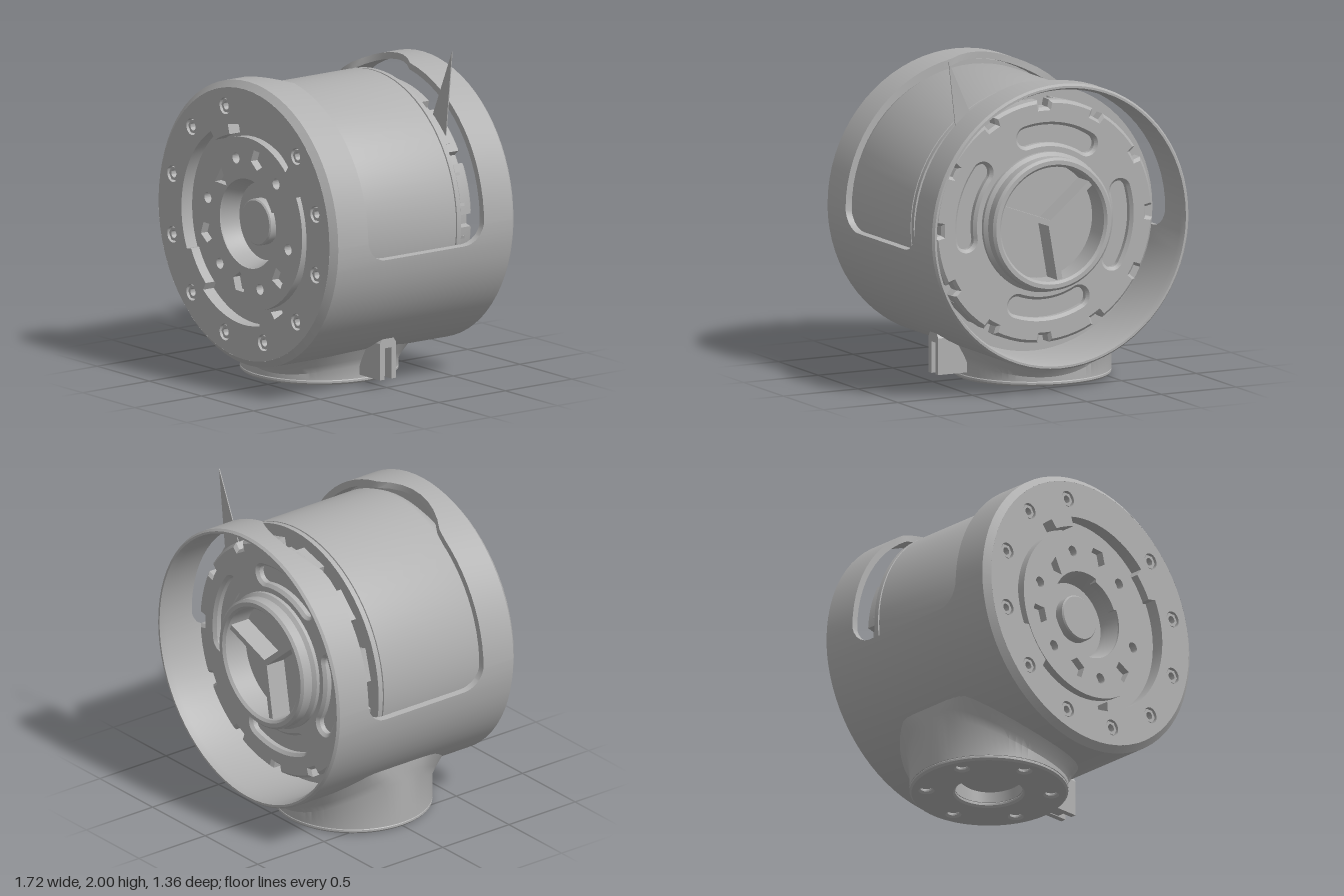
import * as THREE from 'three';
import { toCreasedNormals } from 'three/addons/utils/BufferGeometryUtils.js';

const grey = new THREE.MeshStandardMaterial({ color: 0xb0b0b0, side: THREE.DoubleSide });
grey.name = 'plain grey';
const CY = 0.996; // height of the barrel axis
const rad = THREE.MathUtils.degToRad;

export function createModel() {
  const model = new THREE.Group();
  model.name = 'motorInHousing';

  const add = (name, geometry, x = 0, y = 0, z = 0, parent = model) => {
    const mesh = new THREE.Mesh(geometry, grey);
    mesh.name = name;
    mesh.position.set(x, y, z);
    parent.add(mesh);
    return mesh;
  };
  const crease = (g) => toCreasedNormals(g, rad(28));
  const extrude = (shape, depth, bevel = 0) => crease(new THREE.ExtrudeGeometry(shape, {
    depth, curveSegments: 32, bevelEnabled: bevel > 0, bevelSize: bevel, bevelThickness: bevel, bevelOffset: -bevel, bevelSegments: 1 }));
  const polar = (r, deg) => new THREE.Vector2(r * Math.cos(rad(deg)), r * Math.sin(rad(deg)));
  const circle = (r, x = 0, y = 0) => new THREE.Path().absarc(x, y, r, 0, Math.PI * 2);
  const disc = (r, hole) => {
    const s = new THREE.Shape().absarc(0, 0, r, 0, Math.PI * 2);
    if (hole) s.holes.push(circle(hole));
    return s;
  };
  const polygon = (n, r, x = 0, y = 0, turn = 0) =>
    Array.from({ length: n }, (_, i) => polar(r, turn + i * 360 / n).add(new THREE.Vector2(x, y)));
  // Outline whose radius steps between arcs: [startDeg, endDeg, radius]
  const stepped = (arcs) => arcs.flatMap(([a, b, r]) => {
    const n = Math.max(2, Math.ceil((b - a) / 5));
    return Array.from({ length: n + 1 }, (_, i) => polar(r, a + (b - a) * i / n));
  });
  // Solid of revolution about the barrel axis from [radius, z] pairs
  const barrel = (name, pts) => add(name,
    crease(new THREE.LatheGeometry(pts.map((p) => new THREE.Vector2(...p)), 72).rotateX(Math.PI / 2)), 0, CY, 0);

  // Housing: swept section, split into front and back rings by the rounded opening on top
  const lip = Math.asin(0.12 / 0.86), corner = 0.14;
  const edgeZ = (t, sign) => {
    const rise = Math.max(0, 0.86 * Math.sin(t) + 0.12);
    let z = sign > 0 ? 0.42 : 0.45;
    if (rise < corner) return sign * (z + Math.sqrt(corner ** 2 - (corner - rise) ** 2) - corner);
    const bulge = 0.525 ** 2 - (0.86 * Math.cos(t) + 0.15) ** 2;
    if (bulge > 0) z = Math.max(z, Math.sqrt(bulge) - sign * 0.015);
    return sign * z;
  };
  const angles = [];
  for (let i = 0; i <= 72; i++) angles.push(i * Math.PI / 36);
  for (const d of [0, 0.003, 0.01, 0.03, 0.06, 0.1, 0.13]) angles.push(Math.PI + lip - d, Math.PI * 2 - lip + d);
  angles.sort((a, b) => a - b);
  const section = (t) => [
    [0.86, edgeZ(t, 1)], [0.86, 0.645], [0.82, 0.68], [0.81, 0.66], [0.82, edgeZ(t, 1)],
    [0.82, edgeZ(t, -1)], [0.82, -0.64], [0.835, -0.68], [0.848, -0.68], [0.86, -0.665], [0.86, edgeZ(t, -1)],
  ].map(([r, z]) => [r * Math.cos(t), r * Math.sin(t), z]);
  const wall = [];
  const quad = (a, b, c, d) => wall.push(...a, ...b, ...c, ...a, ...c, ...d);
  const ring = [[0, 1], [1, 2], [2, 3], [3, 4], [5, 6], [6, 7], [7, 8], [8, 9], [9, 10]];
  for (let i = 0; i < angles.length - 1; i++) {
    const a = section(angles[i]), b = section(angles[i + 1]);
    const closed = Math.sin((angles[i] + angles[i + 1]) / 2) * 0.86 < -0.12;
    const ends = closed ? [[4, 5], [10, 0]] : [[4, 0], [10, 5]];
    for (const [j, k] of [...ring, ...ends]) quad(a[j], b[j], b[k], a[k]);
  }
  const left = section(Math.PI + lip), right = section(-lip);
  quad(left[0], left[10], left[5], left[4]);
  quad(right[0], right[4], right[5], right[10]);
  const housing = new THREE.BufferGeometry();
  housing.setAttribute('position', new THREE.Float32BufferAttribute(wall, 3));
  add('housing', crease(housing), 0, CY, 0);

  // Front ring plate with keyed opening and screw holes
  const plate = disc(0.82);
  plate.holes.push(new THREE.Path(stepped([
    [45, 105, 0.6], [105, 121, 0.54], [122, 204, 0.6], [205, 229, 0.56],
    [230, 284, 0.61], [285, 298, 0.55], [299, 386, 0.6], [387, 404, 0.545]])));
  const bolt = new THREE.Shape(polygon(6, 0.045));
  bolt.holes.push(circle(0.024));
  for (let a = 15; a < 360; a += 30) {
    if (a === 75) continue;
    const p = polar(0.71, a);
    plate.holes.push(circle(0.05, p.x, p.y));
    add('frontBolt', extrude(bolt, 0.07), p.x, CY + p.y, 0.6);
  }
  add('frontPlate', extrude(plate, 0.08), 0, CY, 0.6);
  barrel('frontPlateFloor', [[0.27, 0.53], [0.27, 0.6], [0.815, 0.6], [0.815, 0.53], [0.27, 0.53]]);

  // Motor front face: drilled disc, recessed centre and boss
  const face = disc(0.52);
  face.holes.push(new THREE.Path(stepped([[25, 72, 0.25], [73, 384, 0.27]])));
  for (let i = 0; i < 6; i++) {
    const p = polar(0.395, 47 + i * 60);
    face.holes.push(circle(0.033, p.x, p.y));
  }
  [[0.09, 0.4, 5], [-0.26, 0.23, 3], [-0.39, -0.12, 5], [-0.08, -0.37, 5], [0.29, -0.28, 4]].forEach(([x, y, n], i) =>
    face.holes.push(new THREE.Path(polygon(n, 0.065, x, y, 50 + i * 37))));
  add('motorFace', extrude(face, 0.05), 0, CY, 0.6);
  barrel('centreWellWall', [[0.235, 0.53], [0.24, 0.56], [0.27, 0.64]]);
  add('centreBoss', extrude(disc(0.14), 0.05, 0.008), 0, CY, 0.535);

  // Motor body with a seam near its back edge
  barrel('motorBody', [[0, -0.325], [0.8, -0.325], [0.8, -0.295], [0.792, -0.293], [0.792, -0.287],
    [0.8, -0.285], [0.8, 0.44], [0.78, 0.49], [0.74, 0.53], [0, 0.53]].reverse());
  barrel('motorCore', [[0, -0.32], [0.66, -0.32], [0.66, -0.42], [0, -0.42]]);

  // Rear cap: notched rim, curved slots and open hub
  const notches = [];
  for (let a = 0; a < 360; a += 30) notches.push([a + 3, a + 27, 0.73], [a + 27.6, a + 32.4, 0.685]);
  const cap = new THREE.Shape(stepped(notches));
  cap.holes.push(circle(0.36));
  for (const mid of [15, 100, 187, 267]) {
    const a = rad(mid - 23), b = rad(mid + 23), s = new THREE.Path();
    const p = polar(0.525, mid + 23), q = polar(0.525, mid - 23);
    s.absarc(0, 0, 0.58, a, b);
    s.absarc(p.x, p.y, 0.055, b, b + Math.PI);
    s.absarc(0, 0, 0.47, b, a, true);
    s.absarc(q.x, q.y, 0.055, a + Math.PI, a + Math.PI * 2);
    cap.holes.push(s);
  }
  add('rearCap', extrude(cap, 0.07, 0.018), 0, CY, -0.45);
  barrel('rearHub', [[0.345, -0.42], [0.42, -0.42], [0.42, -0.49], [0.4, -0.51], [0.4, -0.57], [0.385, -0.585],
    [0.36, -0.585], [0.345, -0.57], [0.345, -0.42]]);
  for (const a of [20, 140, 260]) {
    const p = polar(0.18, a);
    add('hubSpoke', new THREE.BoxGeometry(0.36, 0.035, 0.14), p.x, CY + p.y, -0.48).rotation.z = rad(a);
  }
  for (let a = 15; a < 360; a += 30) {
    const p = polar(0.685, a);
    add('capRib', new THREE.BoxGeometry(0.08, 0.2, 0.09), p.x, CY + p.y, -0.365).rotation.z = rad(a);
  }

  // Thin upright spike
  const spike = new THREE.Shape([[0.41, 1.55], [0.55, 1.48], [0.61, 2]].map((p) => new THREE.Vector2(...p)));
  add('spike', extrude(spike, 0.006), 0, 0, -0.41);

  // Foot: round neck flaring into the barrel, with a drilled flange
  const foot = new THREE.Group();
  foot.name = 'foot';
  foot.position.set(-0.16, 0, -0.01);
  model.add(foot);
  const neck = new THREE.LatheGeometry([[0.2, 0.9], [0.2, 0.03], [0.47, 0.03], [0.47, 0.94], [0.49, 0.905], [0.535, 0.85]]
    .map((p) => new THREE.Vector2(...p)), 72);
  const np = neck.attributes.position;
  for (let i = 0; i < np.count; i++) {
    const x = Math.max(np.getX(i), -0.47), r = np.getY(i);
    np.setX(i, x);
    // heights above the flange are radii about the barrel axis
    if (r > 0.1) np.setY(i, CY - Math.sqrt(r ** 2 - (x - 0.16) ** 2));
  }
  add('footNeck', crease(neck), 0, 0, 0, foot);
  const flange = disc(0.47, 0.2);
  for (let i = 0; i < 6; i++) {
    const p = polar(0.37, 20 + i * 60);
    flange.holes.push(circle(0.035, p.x, p.y));
  }
  add('footFlange', extrude(flange, 0.012, 0.012).rotateX(-Math.PI / 2), 0, 0.012, 0, foot);

  // Side bracket: arched channel beside the foot
  const arch = new THREE.Shape([[-0.06, 0.05], [-0.025, 0.05], [-0.025, 0.24], [0.025, 0.24], [0.025, 0.05],
    [0.06, 0.05], [0.06, 0.27], [0.04, 0.3], [-0.04, 0.3], [-0.06, 0.27]].map((p) => new THREE.Vector2(...p)));
  add('bracketArch', extrude(arch, 0.24).rotateY(Math.PI / 2), 0.26, 0, -0.01);
  add('bracketWeb', new THREE.BoxGeometry(0.16, 0.2, 0.06), 0.36, 0.155, -0.01);

  return model;
}
